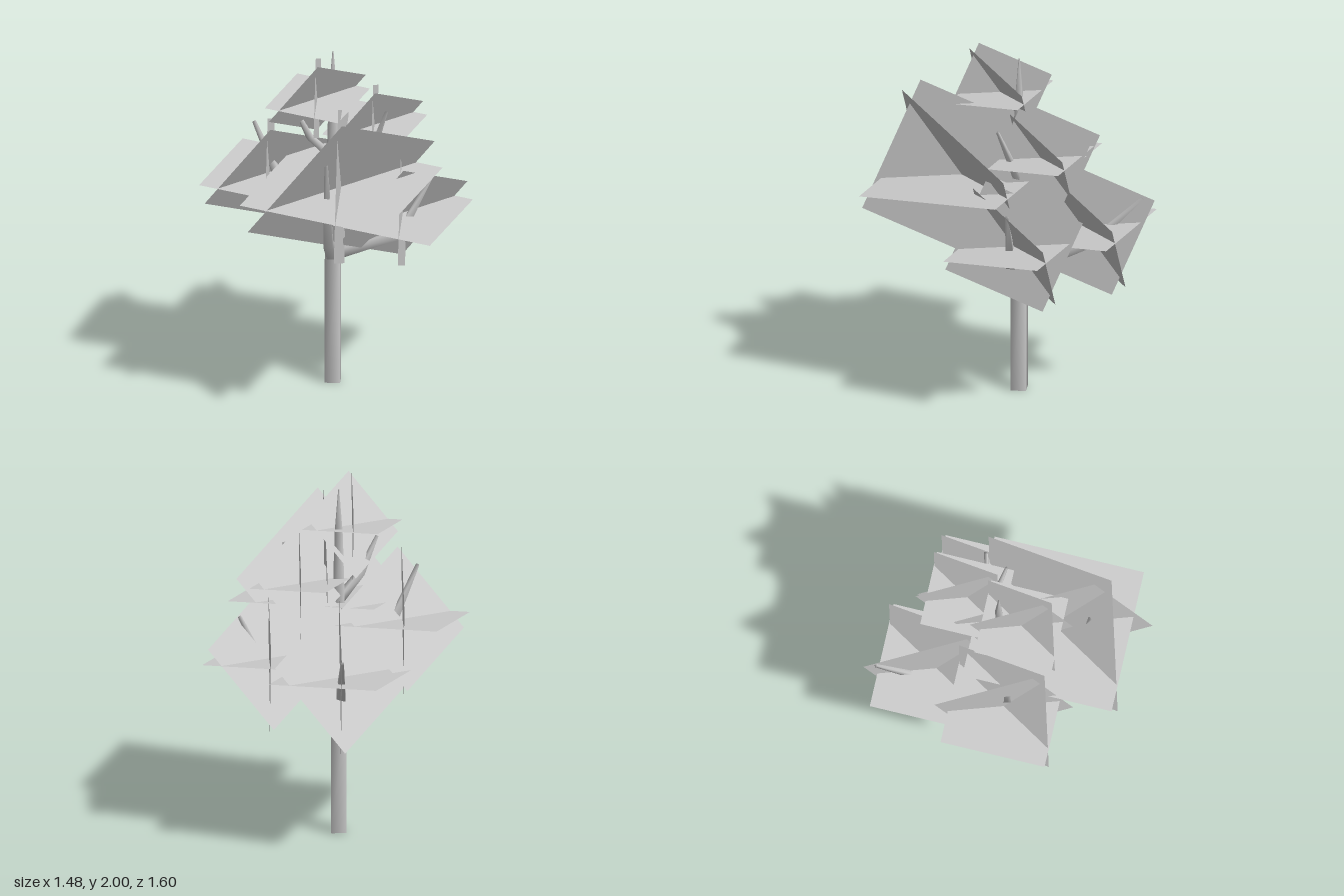
import * as THREE from 'three';

const V = (x, y, z) => new THREE.Vector3(x, y, z);
const bark = new THREE.MeshStandardMaterial({ color: 0xcccccc });
const leaf = new THREE.MeshStandardMaterial({ color: 0xcccccc, side: THREE.DoubleSide });

// Square-section tapering limb through points, with a half-width at each point
function limb(name, points, widths) {
  const pos = [], idx = [], n = points.length;
  points.forEach((p, i) => {
    const t = points[Math.min(i + 1, n - 1)].clone().sub(points[Math.max(i - 1, 0)]).normalize();
    const side = Math.hypot(t.x, t.z) < 0.01 ? V(1, 0, 0) : V(t.z, 0, -t.x).normalize();
    const up = t.clone().cross(side);
    for (const [a, b] of [[1, 1], [-1, 1], [-1, -1], [1, -1]]) {
      const q = p.clone().addScaledVector(side, a * widths[i]).addScaledVector(up, b * widths[i]);
      pos.push(q.x, q.y, q.z);
    }
  });
  for (let i = 0; i < n - 1; i++) {
    for (let j = 0; j < 4; j++) {
      const a = i * 4 + j, b = i * 4 + (j + 1) % 4;
      idx.push(a, b, b + 4, a, b + 4, a + 4);
    }
  }
  const e = (n - 1) * 4;
  idx.push(0, 2, 1, 0, 3, 2, e, e + 1, e + 2, e, e + 2, e + 3);
  const geo = new THREE.BufferGeometry();
  geo.setAttribute('position', new THREE.Float32BufferAttribute(pos, 3));
  geo.setIndex(idx);
  geo.computeVertexNormals();
  const mesh = new THREE.Mesh(geo, bark);
  mesh.name = name;
  return mesh;
}

// In-plane edge directions of the three leaf cards in every clump
const cards = [
  ['sideCard', V(0, 0.924, -0.383), V(0, 0.383, 0.924)],
  ['flatCard', V(0.941, -0.034, 0.335), V(0.341, 0.093, -0.935)],
  ['slantedCard', V(0.619, 0.785, 0.042), V(0.55, -0.395, -0.735)],
];

function leafClump(name, size, x, y, z) {
  const clump = new THREE.Group();
  clump.name = name;
  clump.position.set(x, y, z);
  for (const [label, u, v] of cards) {
    const card = new THREE.Mesh(new THREE.PlaneGeometry(size, size), leaf);
    card.quaternion.setFromRotationMatrix(new THREE.Matrix4().makeBasis(u, v, u.clone().cross(v).normalize()));
    card.name = label;
    clump.add(card);
  }
  return clump;
}

export function createModel() {
  const tree = new THREE.Group();
  tree.name = 'tree';
  const X = -0.018, Z = -0.056; // trunk axis

  // Trunk
  tree.add(limb('trunk',
    [V(X, 0, Z), V(X, 0.72, Z), V(X, 1.25, Z), V(X, 1.7, Z), V(X, 1.95, Z)],
    [0.042, 0.042, 0.034, 0.022, 0.003]));

  // Branches: root height, elbow, tip
  const branches = [
    ['rightwardLowBranch', 0.75, V(0.35, 0.88, Z), V(0.525, 1.23, Z)],
    ['backBranch', 0.7, V(X, 0.89, -0.46), V(X, 1.16, -0.735)],
    ['frontBranch', 0.74, V(X, 0.95, 0.29), V(X, 1.48, 0.45)],
    ['leftwardBranch', 0.98, V(-0.3, 1.16, Z), V(-0.45, 1.52, Z)],
    ['upperRightwardBranch', 1.2, V(0.19, 1.34, -0.07), V(0.28, 1.63, 0.025)],
    ['upperLeftwardBranch', 1.32, V(-0.14, 1.46, 0), V(-0.23, 1.66, 0.03)],
  ];
  branches.forEach(([name, rootY, elbow, tip], i) => {
    const w = i < 4 ? 0.03 : 0.022;
    tree.add(limb(name, [V(X, rootY, Z), elbow, tip], [w, w * 0.85, w * 0.3]));
  });

  // Foliage
  tree.add(
    leafClump('frontLeaves', 0.84, 0.05, 1.277, 0.252),
    leafClump('rightSideLeaves', 0.585, -0.366, 1.215, -0.075),
    leafClump('backLeaves', 0.617, -0.015, 0.982, -0.4),
    leafClump('leftSideLeaves', 0.58, 0.364, 0.996, -0.076),
    leafClump('upperLeaves', 0.435, 0.2, 1.46, -0.202),
    leafClump('crownLeaves', 0.435, -0.095, 1.715, 0.058),
  );
  return tree;
}
